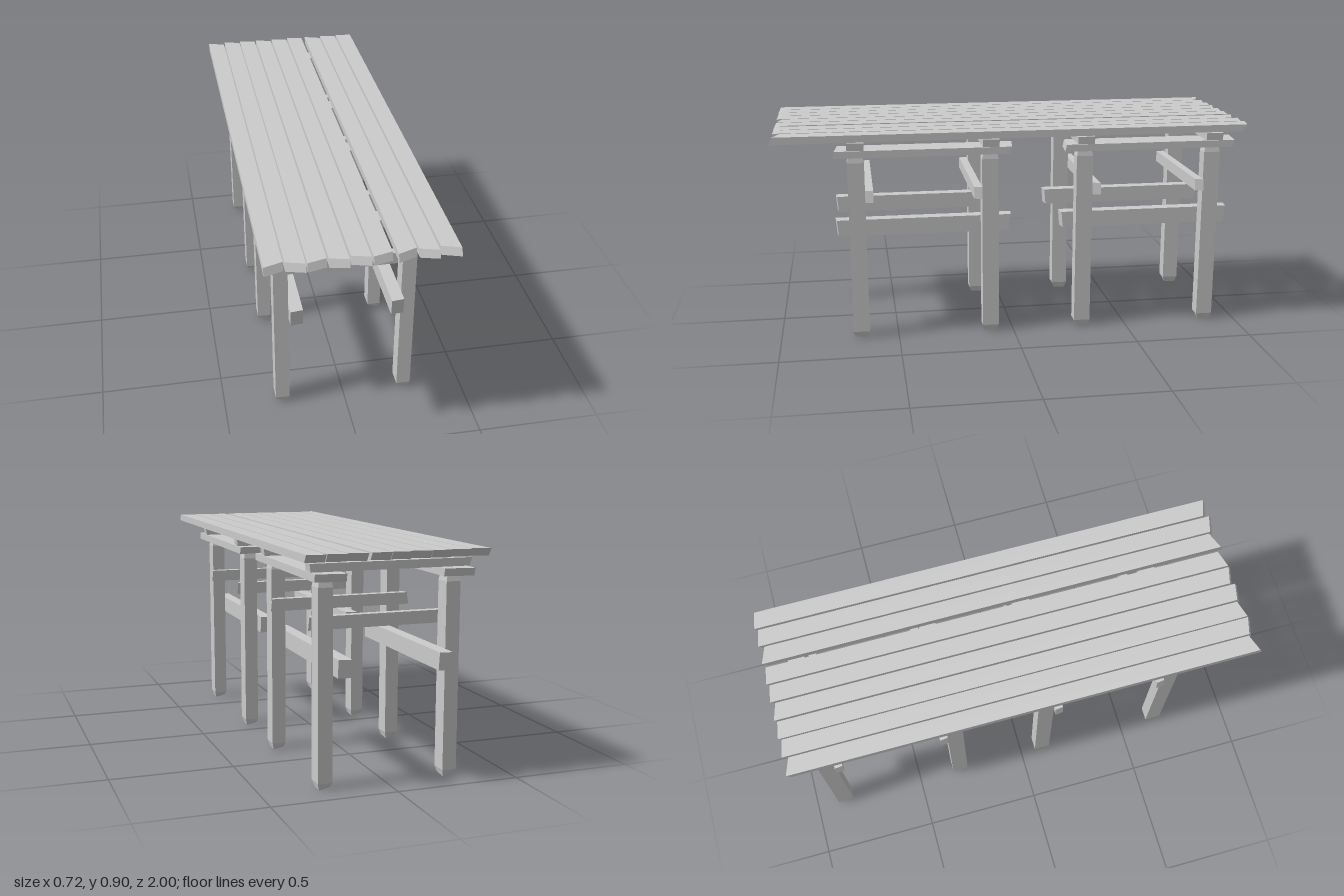
import * as THREE from 'three';

const material = new THREE.MeshStandardMaterial({ color: 0xcccccc, flatShading: true });

// Rough-sawn beam between two corners. Each end is cut on a slant: a cut [u, v]
// pulls the end inward across the two cross directions; the sign picks the side.
function beam(name, axis, min, max, startCut, endCut) {
  const size = max.map((m, i) => m - min[i]);
  let geo = new THREE.BoxGeometry(...size);
  geo.translate(...min.map((m, i) => (m + max[i]) / 2));
  const [u, v] = [0, 1, 2].filter(i => i !== axis);
  const pos = geo.attributes.position;
  const pull = (c, high) => (c >= 0 ? high : 1 - high) * Math.abs(c);
  for (let i = 0; i < pos.count; i++) {
    const p = [pos.getX(i), pos.getY(i), pos.getZ(i)];
    const hu = p[u] > (min[u] + max[u]) / 2 ? 1 : 0;
    const hv = p[v] > (min[v] + max[v]) / 2 ? 1 : 0;
    const atEnd = p[axis] > (min[axis] + max[axis]) / 2;
    const cut = atEnd ? endCut : startCut;
    p[axis] += (atEnd ? -1 : 1) * (pull(cut[0], hu) + pull(cut[1], hv));
    pos.setXYZ(i, ...p);
  }
  geo = geo.toNonIndexed();
  geo.computeVertexNormals();
  const mesh = new THREE.Mesh(geo, material);
  mesh.name = name;
  return mesh;
}

// Square post with bevelled top and slightly slanted, bevelled foot
function post(name, x, z, w, d, h) {
  let geo = new THREE.BoxGeometry(w, h, d, 1, 3, 1);
  geo.translate(0, h / 2, 0);
  const pos = geo.attributes.position;
  for (let i = 0; i < pos.count; i++) {
    const px = pos.getX(i), py = pos.getY(i), pz = pos.getZ(i);
    const ring = Math.round(py / h * 3);
    const y = [0, 0.028, h - 0.032, h][ring];
    const s = [0.76, 1, 1, 0.8][ring];
    const slant = ring === 0 ? (px < 0 ? 0.01 : 0) + (pz > 0 ? 0.004 : 0) : 0;
    pos.setXYZ(i, px * s, y + slant, pz * s);
  }
  geo = geo.toNonIndexed();
  geo.computeVertexNormals();
  const mesh = new THREE.Mesh(geo, material);
  mesh.name = name;
  mesh.position.set(x, 0, z);
  return mesh;
}

// One four-legged trestle; z0 is the middle between its leg pairs
function trestle(z0) {
  const g = new THREE.Group();
  g.name = 'trestle';
  g.position.z = z0;
  for (const side of [-1, 1]) {
    const legX = side < 0 ? -0.26 : 0.255;
    for (const end of [-1, 1]) g.add(post('leg', legX, end * 0.28, 0.058, 0.07, 0.8));

    // Flat rail on top of the legs
    const top = side < 0 ? [-0.315, -0.197] : [0.197, 0.315];
    g.add(beam('topRail', 2, [top[0], 0.795, -0.382], [top[1], 0.825, 0.372],
      [0.015, -0.008], [-0.012, 0.006]));

    // Deep lower rail on the inner face of the legs
    const low = side < 0 ? [-0.231, -0.18] : [0.175, 0.226];
    g.add(beam('lowerRail', 2, [low[0], 0.44, -0.382], [low[1], 0.51, 0.372],
      [0.008, -0.008], [0.006, -0.006]));
  }
  for (const end of [-1, 1]) {
    // Crossbeam carrying the planks
    const z = end * 0.28;
    g.add(beam('crossbeam', 0, [-0.335, 0.825, z - 0.035], [0.317, 0.857, z + 0.035],
      [-0.01, 0.008], [-0.004, 0.006]));
    // Thin crossbar on the inner side of each leg pair
    const bz = end * 0.228;
    g.add(beam('crossbar', 0, [-0.316, 0.6, bz - 0.017], [0.298, 0.65, bz + 0.017],
      [0.007, 0.004], [0.005, 0.012]));
  }
  return g;
}

export function createModel() {
  const model = new THREE.Group();
  model.name = 'plankTable';
  model.add(trestle(0.38), trestle(-0.585));

  // Tabletop planks: left edge, sideways slant of the back end and of the front end
  const planks = [
    [-0.361, 0.025, 0.025], [-0.282, 0.015, -0.02], [-0.204, 0.012, 0.02],
    [-0.124, 0.02, -0.016], [-0.044, 0.012, -0.02], [0.036, 0.012, 0.02],
    [0.127, 0.025, 0.028], [0.207, 0.014, -0.02], [0.288, 0.012, -0.024],
  ];
  const deck = new THREE.Group();
  deck.name = 'tabletop';
  for (const [x, back, front] of planks) {
    deck.add(beam('plank', 2, [x, 0.87, -1], [x + 0.073, 0.9, 1],
      [back, -0.02], [front, 0.014]));
  }
  model.add(deck);
  return model;
}
